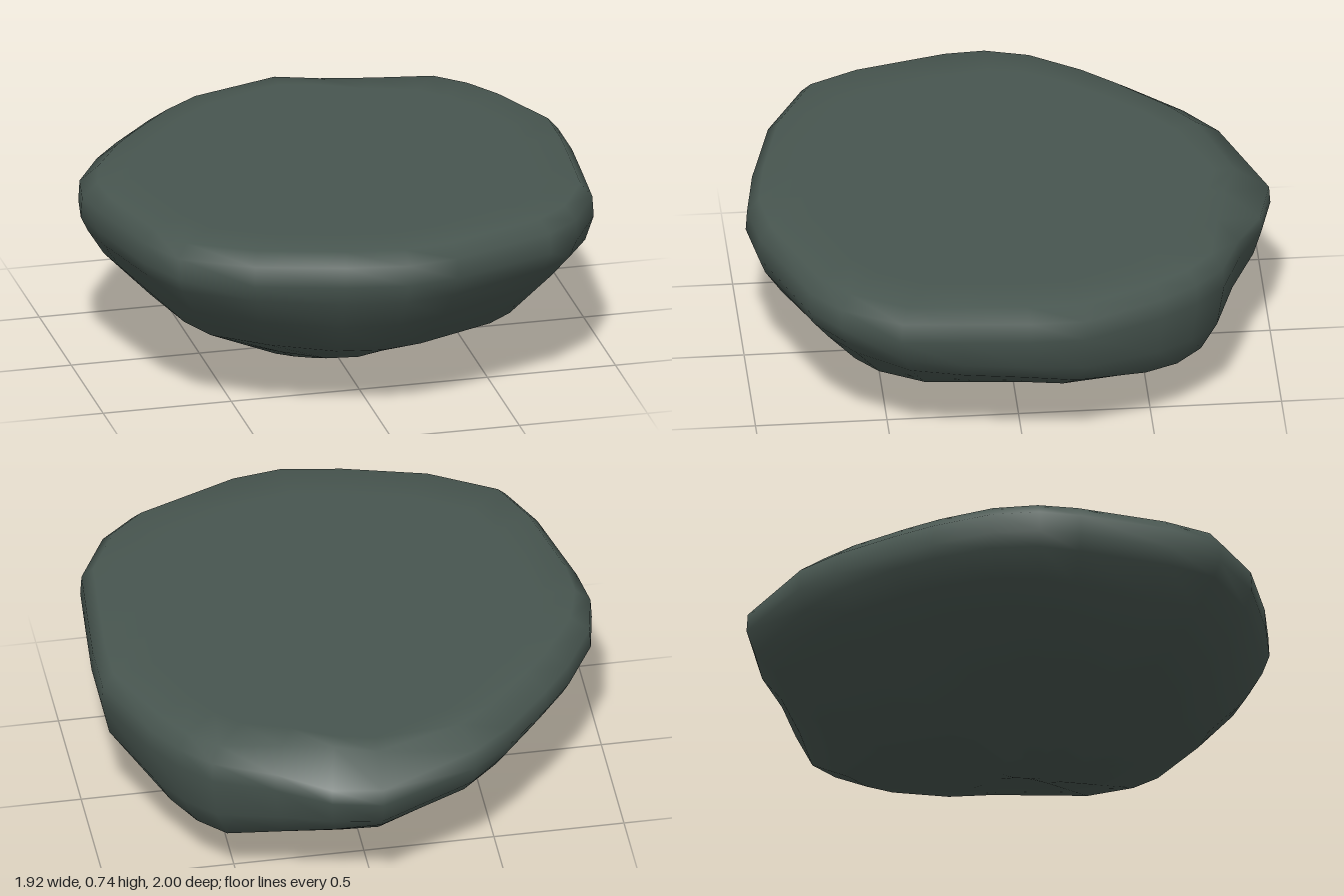
import * as THREE from 'three';

// Widest outline of the boulder (x, z), clockwise from the back as seen from above
const OUTLINE = [
  [0.01, -1], [0.2, -0.95], [0.4, -0.85], [0.63, -0.77], [0.74, -0.66], [0.83, -0.52],
  [0.96, -0.22], [0.96, 0], [0.94, 0.25], [0.92, 0.48], [0.8, 0.7], [0.67, 0.81],
  [0.27, 0.97], [0.07, 1], [-0.17, 0.96], [-0.5, 0.87], [-0.76, 0.72], [-0.85, 0.53],
  [-0.94, 0.17], [-0.965, 0.01], [-0.93, -0.17], [-0.81, -0.38], [-0.7, -0.52],
  [-0.52, -0.72], [-0.37, -0.84],
];
const BOTTOM = [-0.09, 0.05];
const TOP = 0.74;

// Underside heights for eight directions, every 45 degrees clockwise from the back
const STEPS = [0.97, 0.9, 0.75, 0.5, 0.25, 0.1];
const HEIGHTS = [
  [0.49, 0.42, 0.29, 0.12, 0.08, 0.02],
  [0.43, 0.29, 0.2, 0.15, 0.09, 0.025],
  [0.48, 0.39, 0.27, 0.18, 0.09, 0.025],
  [0.54, 0.45, 0.27, 0.17, 0.07, 0.02],
  [0.53, 0.41, 0.26, 0.14, 0.05, 0.01],
  [0.55, 0.44, 0.3, 0.18, 0.06, 0.015],
  [0.55, 0.45, 0.32, 0.18, 0.07, 0.015],
  [0.55, 0.46, 0.34, 0.19, 0.08, 0.02],
];

// Underside height at a step, blended smoothly between directions
function underside(x, z, step) {
  const a = Math.atan2(x - BOTTOM[0], BOTTOM[1] - z) / (Math.PI / 4) + 8;
  const i = Math.floor(a), f = a - i, s = f * f * (3 - 2 * f);
  return HEIGHTS[i % 8][step] * (1 - s) + HEIGHTS[(i + 1) % 8][step] * s;
}

// Smooth local bump around one spot of the outline
const near = (x, z, cx, cz, size) => Math.exp(-((x - cx) ** 2 + (z - cz) ** 2) / (size * size));

function boulderGeometry() {
  const n = OUTLINE.length;
  const positions = [0, TOP, 0];
  const index = [];
  const addRing = (fn) => OUTLINE.forEach(([x, z]) => positions.push(...fn(x, z)));
  // Wider bevel towards the back right, and a chip in the back edge
  const chip = (x, z) => near(x, z, 0.2, -0.95, 0.25);
  const slope = (x, z) => Math.max(0, -0.5 * x - 0.85 * z - 0.3);
  const bevel = (x, z) => 0.05 + 0.1 * slope(x, z) + 0.06 * chip(x, z);
  // Hollow under the rim at the front right
  const hollow = (x, z) => near(x, z, -0.83, 0.5, 0.3);

  // Flat cap, then the rounded rim
  addRing((x, z) => [x * 0.78, TOP, z * 0.78]);
  addRing((x, z) => [x * (1 - bevel(x, z)), TOP, z * (1 - bevel(x, z))]);
  addRing((x, z) => [x * 0.995, 0.69 - 0.03 * slope(x, z) - 0.04 * chip(x, z), z * 0.995]);
  addRing((x, z) => [x, 0.61 - 0.03 * slope(x, z) - 0.02 * chip(x, z), z]);

  // Underside narrowing to the lowest point
  STEPS.forEach((s, step) => addRing((x, z) => {
    const pull = s - (step === 1 ? 0.03 * hollow(x, z) : 0);
    return [
      BOTTOM[0] + (x - BOTTOM[0]) * pull,
      underside(x, z, step),
      BOTTOM[1] + (z - BOTTOM[1]) * pull,
    ];
  }));
  const rings = 4 + STEPS.length;
  const last = positions.length / 3;
  positions.push(BOTTOM[0], 0, BOTTOM[1]);

  for (let k = 0; k < n; k++) {
    const m = (k + 1) % n;
    index.push(0, 1 + m, 1 + k);
    for (let r = 0; r < rings - 1; r++) {
      const a = 1 + r * n, b = a + n;
      index.push(a + k, a + m, b + k, a + m, b + m, b + k);
    }
    const e = 1 + (rings - 1) * n;
    index.push(e + k, e + m, last);
  }

  const geometry = new THREE.BufferGeometry();
  geometry.setAttribute('position', new THREE.Float32BufferAttribute(positions, 3));
  geometry.setIndex(index);
  geometry.computeVertexNormals();
  return geometry;
}

export function createModel() {
  const group = new THREE.Group();
  group.name = 'flatToppedBoulder';
  const stone = new THREE.MeshStandardMaterial({ color: 0x485650 });
  stone.name = 'dark green grey stone';
  const boulder = new THREE.Mesh(boulderGeometry(), stone);
  boulder.name = 'boulder';
  group.add(boulder);
  return group;
}
